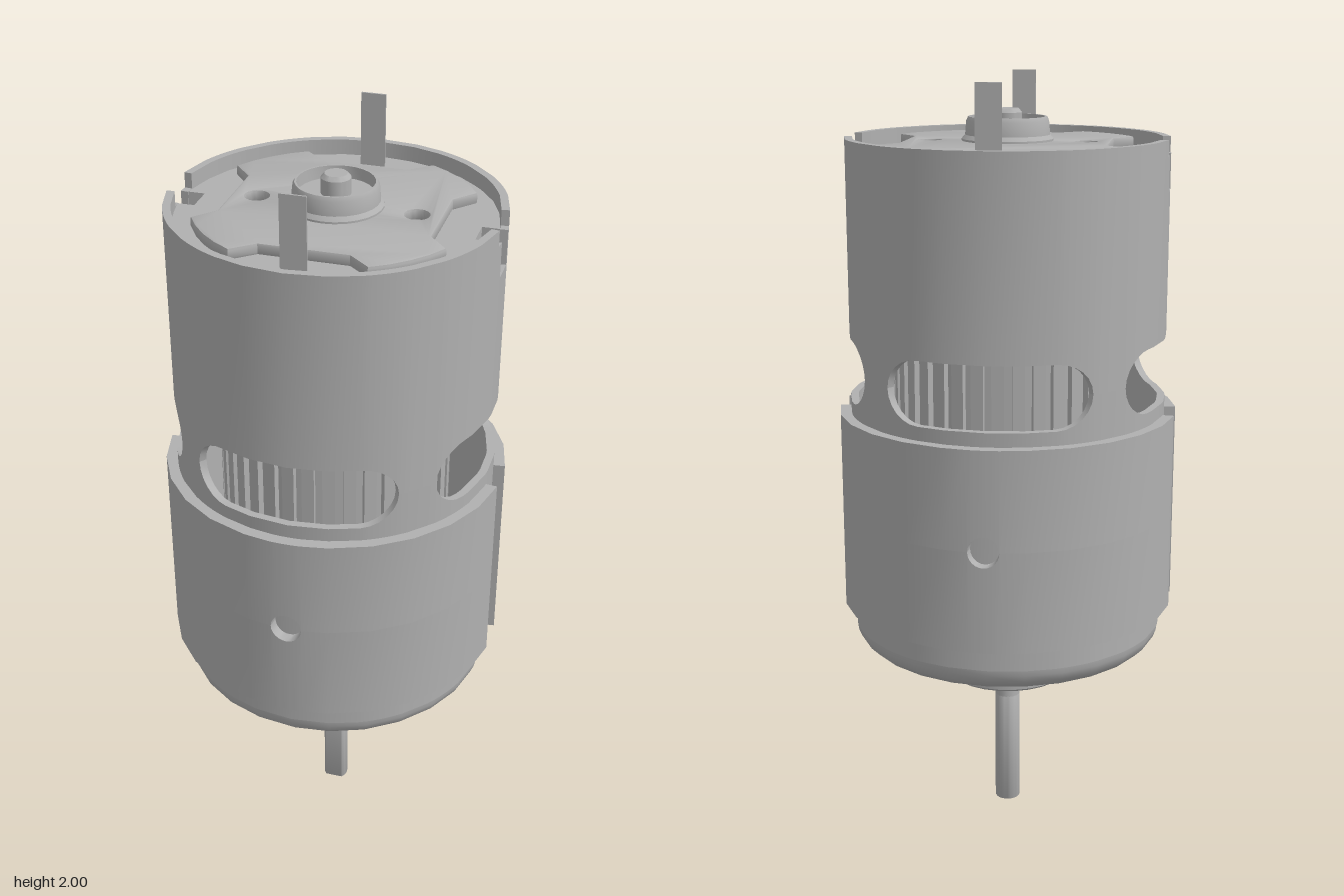
import * as THREE from 'three';
import { toCreasedNormals } from 'three/addons/utils/BufferGeometryUtils.js';

const SIDES = 26;
const steel = new THREE.MeshStandardMaterial({ color: 0xb0b0b0 });
steel.name = 'steel grey';

export function createModel() {
  const model = new THREE.Group();
  model.name = 'electricMotor';

  const add = (name, geometry, x = 0, y = 0, z = 0) => {
    const mesh = new THREE.Mesh(toCreasedNormals(geometry, 0.6), steel);
    mesh.name = name;
    mesh.position.set(x, y, z);
    model.add(mesh);
    return mesh;
  };
  const lathe = (pts, n = SIDES) =>
    new THREE.LatheGeometry(pts.map(([r, y]) => new THREE.Vector2(r, y)), n);
  // Horizontal slab: extrude an outline upwards from y = 0
  const slab = (shape, depth, bevel = 0) => new THREE.ExtrudeGeometry(shape, {
    depth: depth - 2 * bevel, bevelEnabled: bevel > 0, bevelSize: bevel,
    bevelThickness: bevel, bevelOffset: -bevel, bevelSegments: 2, curveSegments: 13,
  }).translate(0, 0, bevel).rotateX(-Math.PI / 2);
  const outline = pts => new THREE.Shape(pts.map(([x, y]) => new THREE.Vector2(x, y)));
  const polar = (r, a) => [r * Math.cos(a), r * Math.sin(a)];
  const roundHole = (x, y, r) => new THREE.Path().absarc(x, y, r, 0, Math.PI * 2, true);

  // Curved wall: rectangular section swept round y; stations are [angle, low y, high y]
  const wall = (stations, ri, ro) => {
    const pos = [], idx = [];
    for (const [a, lo, hi] of stations)
      for (const [r, y] of [[ro, lo], [ro, hi], [ri, hi], [ri, lo]])
        pos.push(r * Math.sin(a), y, r * Math.cos(a));
    for (let i = 0; i < stations.length - 1; i++)
      for (let k = 0; k < 4; k++) {
        const n = (k + 1) % 4, a = i * 4 + k, b = a + 4, c = i * 4 + 4 + n, d = i * 4 + n;
        idx.push(a, b, c, a, c, d);
      }
    const e = pos.length / 3 - 4;
    idx.push(0, 1, 2, 0, 2, 3, e, e + 2, e + 1, e, e + 3, e + 2);
    const g = new THREE.BufferGeometry();
    g.setAttribute('position', new THREE.Float32BufferAttribute(pos, 3));
    g.setIndex(idx);
    return g;
  };

  // Can wall, with a rounded window on each of four sides and a stepped notch at left and right
  const R = 0.415, RI = 0.395, windowY = 1.263, windowR = 0.0825, straight = 0.172;
  const windowHalf = a => {
    const q = a - Math.round(a / (Math.PI / 2)) * Math.PI / 2;
    const d = Math.max(0, Math.abs(R * Math.sin(q)) - straight);
    return d < windowR ? Math.sqrt(windowR * windowR - d * d) : 0;
  };
  const angles = [];
  for (let i = 0; i <= SIDES; i++) angles.push(i / SIDES * Math.PI * 2);
  for (let q = 0; q < 4; q++)
    for (const s of [-1, 1])
      for (let k = 0; k <= 6; k++) {
        const x = straight + windowR * Math.sin(k / 6 * Math.PI / 2);
        angles.push((q * Math.PI / 2 + s * Math.asin(x / R) + Math.PI * 2) % (Math.PI * 2));
      }
  const notchEdges = [];
  for (const centre of [Math.PI / 2, Math.PI * 1.5])
    for (const half of [0.06, 0.037])
      for (const s of [-1, 1])
        for (const e of [-1e-5, 1e-5]) notchEdges.push(centre + s * Math.asin(half / R) + e);
  angles.push(...notchEdges);
  angles.sort((a, b) => a - b);
  const rimTop = a => {
    const z = Math.abs(R * Math.cos(a));
    return z < 0.037 ? 1.72 : z < 0.06 ? 1.81 : 1.85;
  };
  add('canLowerWall', wall(angles.map(a => [a, 0.56, windowY - windowHalf(a)]), RI, R));
  add('canUpperWall', wall(angles.map(a => [a, windowY + windowHalf(a), rimTop(a)]), RI, R));

  // Rounded bottom edge and pierced floor
  add('canBottomEdge', lathe([[0.36, 0.53], [0.36, 0.5], [0.385, 0.505], [0.405, 0.525],
    [0.413, 0.545], [R, 0.56], [RI, 0.56], [0.36, 0.53]]));
  const floor = new THREE.Shape().absarc(0, 0, 0.362, 0, Math.PI * 2);
  for (let q = 0; q < 4; q++) {
    const a = q * Math.PI / 2, m = a + Math.PI / 4;
    floor.holes.push(roundHole(...polar(0.29, a), 0.034));
    const slot = [];
    for (let k = -2; k <= 2; k++) slot.push(polar(0.325, m + k * 0.17));
    for (let k = 2; k >= -2; k--) slot.push(polar(0.25, m + k * 0.17));
    floor.holes.push(new THREE.Path(slot.map(([x, y]) => new THREE.Vector2(x, y))));
  }
  add('canFloor', slab(floor, 0.03), 0, 0.5, 0);

  // Two half sleeves, each with a screw hole in its middle
  const holeY = 0.885, holeR = 0.04, sleeveR = 0.445;
  const end = Math.PI / 2 - Math.asin(0.05 / sleeveR);
  const sleeveAngles = [];
  for (let i = 0; i <= 12; i++) sleeveAngles.push(-end + 2 * end * i / 12);
  for (let i = 0; i <= 12; i++)
    sleeveAngles.push(Math.asin(-Math.cos(i / 12 * Math.PI) * holeR / sleeveR));
  sleeveAngles.sort((a, b) => a - b);
  const holeHalf = a => Math.sqrt(Math.max(0, holeR ** 2 - (sleeveR * Math.sin(a)) ** 2));
  for (const turn of [0, Math.PI]) {
    const side = turn ? 'back' : 'front';
    add(side + 'SleeveLower',
      wall(sleeveAngles.map(a => [a, 0.62, holeY - holeHalf(a)]), R, sleeveR)).rotation.y = turn;
    add(side + 'SleeveUpper',
      wall(sleeveAngles.map(a => [a, holeY + holeHalf(a), 1.145]), R, sleeveR)).rotation.y = turn;
  }

  // Ribbed armature seen through the windows
  const ribs = [];
  for (let i = 0; i < 36; i++)
    for (const [r, t] of [[0.3, 0], [0.3, 0.6], [0.282, 0.6], [0.282, 1]])
      ribs.push(polar(r, (i + t) / 36 * Math.PI * 2));
  add('armature', slab(outline(ribs), 1.0), 0, 0.62, 0);

  // End cap with slots under the rim notches
  const cap = [];
  for (const s of [0, Math.PI]) {
    const a0 = Math.asin(0.037 / RI);
    const slot = [[0.35, -0.037], [0.35, 0.037]];
    cap.push(...slot.map(([x, y]) => s ? [-x, -y] : [x, y]));
    for (let i = 0; i <= 14; i++) cap.push(polar(RI, s + a0 + (Math.PI - 2 * a0) * i / 14));
  }
  add('endCap', slab(outline(cap), 0.09), 0, 1.72, 0);
  add('endCapBase', new THREE.CylinderGeometry(RI, RI, 0.03, SIDES), 0, 1.705, 0);

  // Raised four-lobed plate with two blind holes
  const lobes = [];
  for (let q = 0; q < 4; q++) {
    const turn = ([x, y]) => {
      const c = Math.round(Math.cos(q * Math.PI / 2)), s = Math.round(Math.sin(q * Math.PI / 2));
      return [x * c - y * s, x * s + y * c];
    };
    const a0 = Math.atan2(0.165, 0.31), a1 = Math.PI / 2 - a0;
    lobes.push(turn([0.262, 0.11]));
    for (let i = 0; i <= 4; i++) lobes.push(turn(polar(0.351, a0 + (a1 - a0) * i / 4)));
    lobes.push(turn([0.11, 0.262]));
  }
  const plate = outline(lobes);
  for (const x of [-0.2, 0.2]) plate.holes.push(roundHole(x, 0, 0.03));
  add('capPlate', slab(plate, 0.03, 0.006), 0, 1.81, 0);

  // Rear bearing boss with a recessed centre
  add('rearBoss', lathe([[0.117, 1.83], [0.117, 1.845], [0.108, 1.855], [0.105, 1.89], [0.1, 1.9],
    [0.095, 1.9], [0.093, 1.87], [0, 1.87]]));
  add('rearShaftTip', lathe([[0.037, 1.86], [0.037, 1.91], [0.028, 1.92], [0, 1.92]], 20));

  // Terminals
  for (const s of [1, -1])
    add(s > 0 ? 'frontTerminal' : 'backTerminal',
      new THREE.BoxGeometry(0.064, 0.2, 0.005), 0, 1.9, s * 0.333);

  // Front bearing collar
  add('bearingCollar', lathe([[0, 0.393], [0.165, 0.393], [0.173, 0.4], [0.175, 0.505]]));

  // Output shaft with a flat on its front
  add('outputShaft', new THREE.CylinderGeometry(0.034, 0.034, 0.12, 20), 0, 0.375, 0);
  const flat = Math.asin(0.024 / 0.034);
  const dShape = new THREE.Shape().absarc(0, 0, 0.034, -Math.PI / 2 + flat, Math.PI * 1.5 - flat);
  add('outputShaftFlat', slab(dShape, 0.32, 0.004));

  return model;
}
